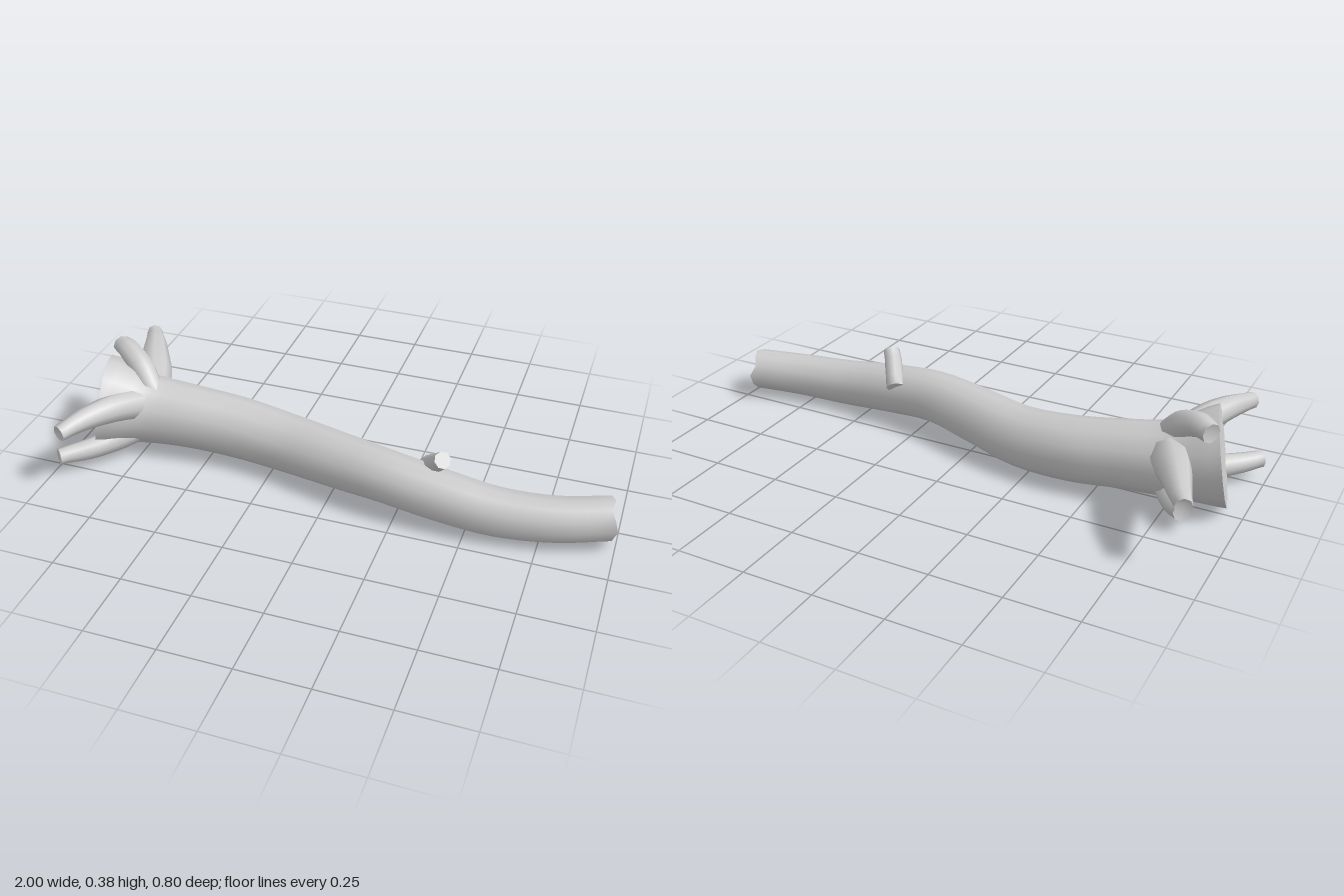
import * as THREE from 'three';

const material = new THREE.MeshStandardMaterial({ color: 0xcccccc });

// Tapered limb swept through stations [x, y, z, radius], with crisp capped ends.
// dent = [start, end] depth of the hollow in each cap; knots = unevenness of the bark.
function limb(name, stations, { sides = 8, steps = 10, dent = [0, 0.01], knots = 0.03, jag = 0 } = {}) {
  const path = new THREE.CatmullRomCurve3(stations.map(s => new THREE.Vector3(s[0], s[1], s[2])));
  const widths = new THREE.SplineCurve(stations.map((s, i) => new THREE.Vector2(i, s[3])));
  const pos = [], index = [], rings = [];
  const up = new THREE.Vector3(0, 1, 0);
  for (let i = 0; i <= steps; i++) {
    const t = i / steps, c = path.getPoint(t), dir = path.getTangent(t);
    const side = up.clone().cross(dir).normalize(), top = dir.clone().cross(side);
    const ring = [];
    for (let j = 0; j < sides; j++) {
      const a = j / sides * Math.PI * 2;
      const r = widths.getPoint(t).y * (1 + knots * Math.sin(3 * a + 5 * t) * Math.cos(2 * a - 9 * t));
      const p = c.clone().addScaledVector(side, r * Math.cos(a)).addScaledVector(top, r * Math.sin(a));
      if (i === steps) p.addScaledVector(dir, jag * Math.cos(4 * a + 0.6));
      ring.push(p);
      pos.push(p.x, p.y, p.z);
    }
    rings.push({ c, dir, ring });
  }
  for (let i = 0; i < steps; i++) {
    for (let j = 0; j < sides; j++) {
      const a = i * sides + j, b = i * sides + (j + 1) % sides;
      index.push(a, b, a + sides, b, b + sides, a + sides);
    }
  }
  // Cut ends have their own vertices so the rim stays sharp
  [[rings[0], dent[0], false], [rings[steps], -dent[1], true]].forEach(([{ c, dir, ring }, depth, end]) => {
    const base = pos.length / 3, mid = c.clone().addScaledVector(dir, depth);
    [mid, ...ring].forEach(p => pos.push(p.x, p.y, p.z));
    for (let j = 0; j < sides; j++) {
      const a = base + 1 + j, b = base + 1 + (j + 1) % sides;
      index.push(base, end ? a : b, end ? b : a);
    }
  });
  const geo = new THREE.BufferGeometry();
  geo.setAttribute('position', new THREE.Float32BufferAttribute(pos, 3));
  geo.setIndex(index);
  geo.computeVertexNormals();
  const mesh = new THREE.Mesh(geo, material);
  mesh.name = name;
  return mesh;
}

export function createModel() {
  const log = new THREE.Group();
  log.name = 'fallenLog';

  // Winding trunk, from the flared root plate to the broken tip
  log.add(limb('trunk', [
    [-0.90, 0.185, 0.06, 0.172],
    [-0.76, 0.16, 0.02, 0.132],
    [-0.58, 0.145, -0.005, 0.118],
    [-0.40, 0.125, -0.02, 0.114],
    [-0.20, 0.11, 0.0, 0.108],
    [0.0, 0.12, 0.055, 0.102],
    [0.20, 0.13, 0.105, 0.095],
    [0.40, 0.112, 0.124, 0.092],
    [0.60, 0.09, 0.127, 0.086],
    [0.80, 0.09, 0.105, 0.08],
    [0.975, 0.102, 0.055, 0.077],
  ], { sides: 12, steps: 40, dent: [0.005, 0.03], jag: 0.01 }));

  // Roots fanning out around the flare
  log.add(limb('upperBackRoot', [
    [-0.74, 0.2, -0.03, 0.06], [-0.79, 0.222, -0.14, 0.062],
    [-0.85, 0.24, -0.27, 0.046], [-0.91, 0.233, -0.388, 0.029],
  ]));
  log.add(limb('upperFrontRoot', [
    [-0.74, 0.21, 0.06, 0.055], [-0.79, 0.24, 0.16, 0.052],
    [-0.845, 0.255, 0.27, 0.042], [-0.9, 0.247, 0.384, 0.029],
  ]));
  log.add(limb('topRoot', [
    [-0.71, 0.235, 0.03, 0.042], [-0.77, 0.3, -0.015, 0.046],
    [-0.84, 0.34, -0.06, 0.042], [-0.895, 0.338, -0.1, 0.034],
  ]));
  log.add(limb('lowerFrontRoot', [
    [-0.76, 0.1, 0.08, 0.042], [-0.84, 0.078, 0.16, 0.042],
    [-0.91, 0.073, 0.235, 0.037], [-0.972, 0.075, 0.3, 0.03],
  ]));
  log.add(limb('lowerBackRoot', [
    [-0.74, 0.085, -0.02, 0.05], [-0.79, 0.068, -0.09, 0.046], [-0.845, 0.075, -0.168, 0.031],
  ]));

  // Broken branch stub on the upper side of the trunk
  log.add(limb('branchStub', [
    [0.335, 0.165, 0.04, 0.034], [0.37, 0.215, 0.09, 0.033], [0.405, 0.265, 0.135, 0.03],
  ], { steps: 4, dent: [0, 0] }));

  return log;
}
